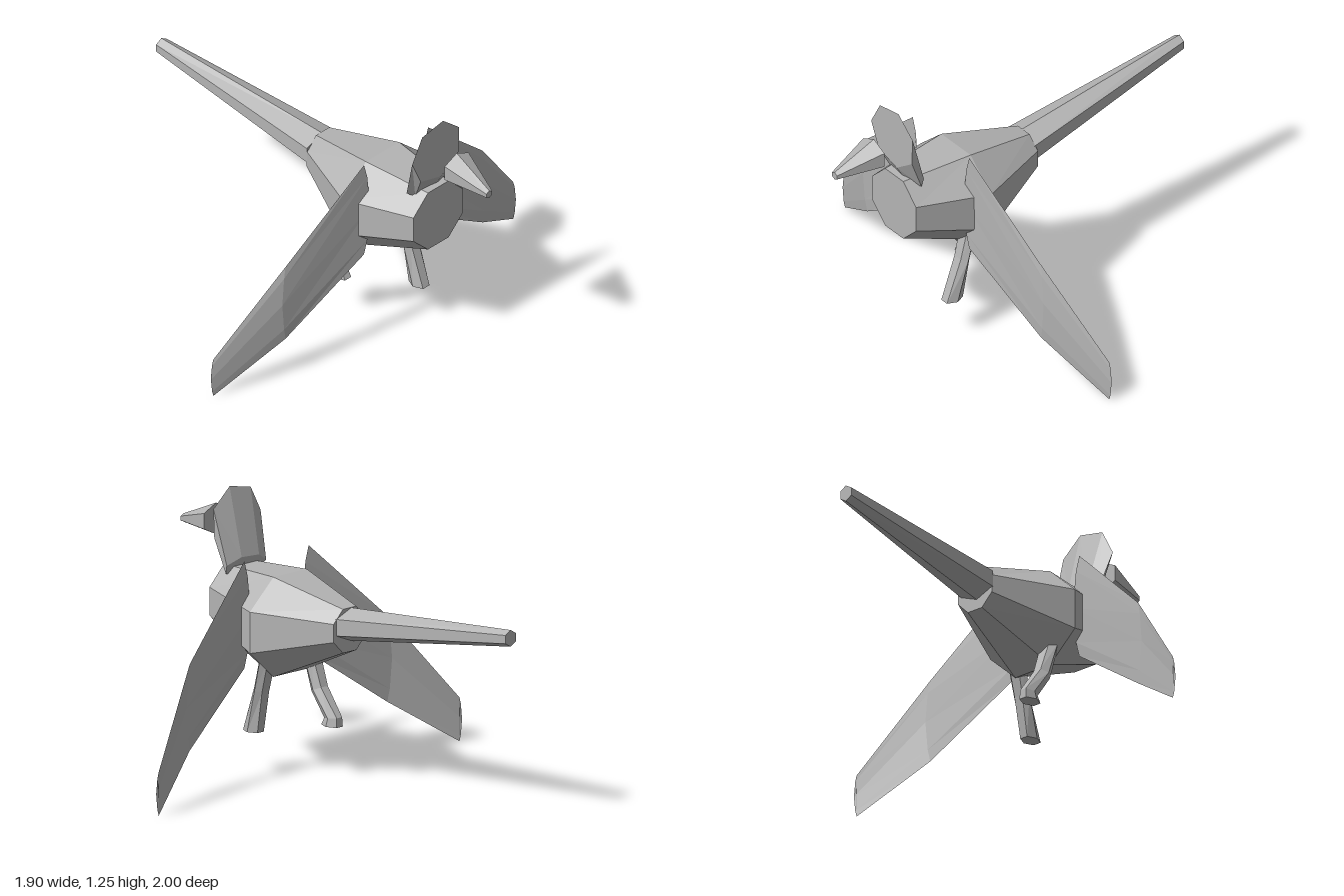
import * as THREE from 'three';

// A ring of n points: place(cos, sin) gives each point as [x, y, z]
const ring = (n, startDeg, place) => Array.from({ length: n }, (_, i) => {
  const a = THREE.MathUtils.degToRad(startDeg) + (i / n) * Math.PI * 2;
  return place(Math.cos(a), Math.sin(a));
});

// Ring facing along z, and ring facing along y (tilt lifts its front edge)
const ringZ = (n, start, x, y, z, rx, ry, lean = 0) =>
  ring(n, start, (c, s) => [x + rx * c, y + ry * s, z + lean * s]);
const ringY = (n, start, x, y, z, rx, rz, tilt = 0) =>
  ring(n, start, (c, s) => [x + rx * c, y + tilt * s, z + rz * s]);

// Skin a closed, capped, faceted solid over a list of rings
function loft(rings) {
  const tris = [];
  const n = rings[0].length;
  for (let r = 0; r < rings.length - 1; r++) {
    for (let i = 0; i < n; i++) {
      const j = (i + 1) % n;
      const a = rings[r][i], b = rings[r][j], c = rings[r + 1][j], d = rings[r + 1][i];
      tris.push([a, b, c], [a, c, d]);
    }
  }
  const last = rings[rings.length - 1];
  for (let i = 1; i < n - 1; i++) {
    tris.push([rings[0][0], rings[0][i + 1], rings[0][i]], [last[0], last[i], last[i + 1]]);
  }
  // Turn the faces outward if the rings run the other way round
  const v = (p) => new THREE.Vector3(...p);
  const volume = tris.reduce((sum, [a, b, c]) => sum + v(a).dot(v(b).cross(v(c))), 0);
  if (volume < 0) tris.forEach((t) => t.reverse());
  const geometry = new THREE.BufferGeometry();
  geometry.setAttribute('position', new THREE.Float32BufferAttribute(tris.flat(2), 3));
  geometry.computeVertexNormals();
  return geometry;
}

export function createModel() {
  const model = new THREE.Group();
  model.name = 'bird';
  const grey = new THREE.MeshStandardMaterial({ color: 0xb4b4b4, flatShading: true });
  grey.name = 'grey';

  const add = (name, rings) => {
    const mesh = new THREE.Mesh(loft(rings), grey);
    mesh.name = name;
    model.add(mesh);
  };

  // Octagonal body with flat top and bottom; sizes are half widths across flats
  const k = 1 / Math.cos(Math.PI / 8);
  add('body', [
    ringZ(8, 22.5, 0, 0.755, 0.67, 0.155 * k, 0.155 * k),
    ringZ(8, 22.5, 0, 0.692, 0.32, 0.25 * k, 0.228 * k),
    ringZ(8, 22.5, 0.005, 0.732, -0.06, 0.1 * k, 0.1 * k),
  ]);

  // Long tapering tail
  add('tail', [
    ringZ(6, 30, -0.005, 0.755, -0.055, 0.108, 0.076),
    ringZ(6, 30, -0.067, 0.852, -1, 0.037, 0.038),
  ]);

  // Neck widening into the flat-faced head
  add('head', [
    ringZ(7, 23.5, -0.01, 1.11, 0.67, 0.153, 0.153),
    ringZ(7, 23.5, 0, 0.905, 0.602, 0.13, 0.045, -0.012),
  ]);

  // Beak, floating in front of the face
  add('beak', [
    ringZ(6, 30, 0, 1.084, 0.785, 0.086, 0.072),
    ringZ(6, 30, -0.01, 1.047, 1, 0.021, 0.019),
  ]);

  // Thin swept wings: sections [x, centre y, z, half height, half thickness, bulge]
  const wingSections = [
    [0.2, 0.75, 0.405, 0.245, 0.004, -0.035],
    [0.615, 0.415, 0.33, 0.197, 0.005, 0.025],
    [0.936, 0.103, 0.2, 0.1, 0.002, 0.014],
  ];
  for (const [name, side] of [['leftWing', 1], ['rightWing', -1]]) {
    add(name, wingSections.map(([x, y, z, h, t, bulge]) =>
      ring(8, 0, (c, s) => [side * (x + bulge * s * s), y + h * c, z + t * s])));
  }

  // Left leg reaches forward, right leg is bent and trails back
  add('leftLeg', [
    ringY(6, 0, 0.115, 0.54, 0.345, 0.05, 0.03),
    ringY(6, 0, 0.117, 0.4, 0.38, 0.045, 0.028, 0.01),
    ringY(6, 0, 0.115, 0.2, 0.434, 0.04, 0.052),
  ]);
  add('rightLeg', [
    ringY(6, 0, -0.115, 0.54, 0.3, 0.05, 0.035),
    ringY(6, 0, -0.115, 0.385, 0.25, 0.042, 0.035, -0.015),
    ringY(6, 0, -0.115, 0.268, 0.165, 0.034, 0.045, -0.006),
    ringY(6, 0, -0.115, 0.23, 0.172, 0.04, 0.055),
  ]);

  return model;
}
